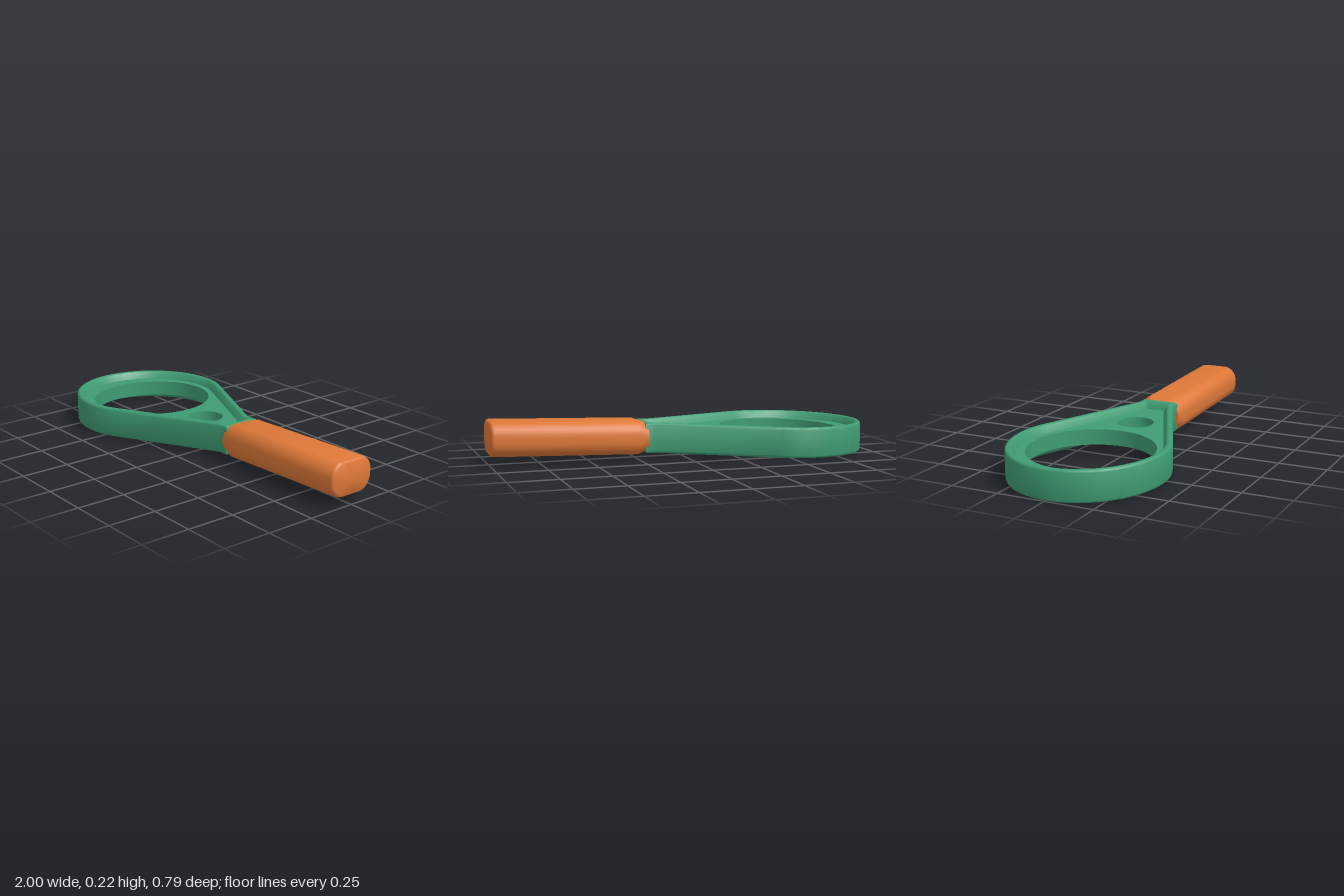
import * as THREE from 'three';
import { toCreasedNormals } from 'three/addons/utils/BufferGeometryUtils.js';

// Surface through closed counter-clockwise rings of [x, y, z], stacked along z
function loft(rings) {
  const n = rings[0].length, pos = rings.flat(2), idx = [];
  for (let j = 0; j < rings.length - 1; j++) {
    for (let i = 0; i < n; i++) {
      const k = (i + 1) % n, a = j * n, b = a + n;
      idx.push(a + i, a + k, b + k, a + i, b + k, b + i);
    }
  }
  const g = new THREE.BufferGeometry();
  g.setAttribute('position', new THREE.Float32BufferAttribute(pos, 3));
  g.setIndex(idx);
  return g;
}

// Gentle upward slope along x
function slope(g, base, rate) {
  const p = g.attributes.position;
  for (let i = 0; i < p.count; i++) p.setY(i, p.getY(i) + base + rate * p.getX(i));
  return g;
}

// Teardrop outline, moved inward by t: round end, straight tangents, short neck
function teardrop(t) {
  const cx = -0.57, r = 0.395, a = THREE.MathUtils.degToRad(65), pts = [];
  const steps = 72;
  for (let i = 0; i <= steps; i++) {
    const u = a + (i / steps) * 2 * (Math.PI - a);
    const rx = Math.cos(u) < 0 ? 0.43 : r;
    pts.push([cx + (rx - t) * Math.cos(u), (r - t) * Math.sin(u)]);
  }
  const z = 0.1 - t;
  const kx = cx + (r - t - z * Math.sin(a)) / Math.cos(a);
  pts.push([kx, -z], [0.215 - t, -z], [0.215 - t, z], [kx, z]);
  return pts;
}

// Rounded handle section, moved inward by o
function handleSection(o) {
  const pts = [], rx = 0.068, ry = 0.074;
  const w = 0.125 - o - rx, h = 0.0875 - o - ry;
  for (let q = 0; q < 4; q++) {
    const sx = q === 0 || q === 3 ? 1 : -1, sy = q < 2 ? 1 : -1;
    for (let i = 0; i <= 8; i++) {
      const u = (q + i / 8) * Math.PI / 2;
      pts.push([sx * w + rx * Math.cos(u), sy * h + ry * Math.sin(u)]);
    }
  }
  return pts;
}

export function createModel() {
  const model = new THREE.Group();
  const green = new THREE.MeshStandardMaterial({ color: 0x3f9c73 });
  green.name = 'green';
  const orange = new THREE.MeshStandardMaterial({ color: 0xde7838 });
  orange.name = 'orange';
  const add = (name, g, material, crease) => {
    const mesh = new THREE.Mesh(toCreasedNormals(g, crease), material);
    mesh.name = name;
    model.add(mesh);
  };

  // Raised rim: [inset, height] profile swept around the teardrop
  const profile = [
    [0.046, 0.035], [0.032, 0.005], [0.025, 0], [0.01, 0], [0.003, 0.004], [0, 0.012],
    [0, 0.143], [0.003, 0.151], [0.01, 0.155], [0.025, 0.155], [0.032, 0.15], [0.046, 0.115],
  ];
  const rim = loft(profile.map(([t, y]) => teardrop(t).map(([x, z]) => [x, z, y])));
  rim.rotateX(-Math.PI / 2);
  add('rim', slope(rim, 0.028, 0.026), green, 0.8);

  // Recessed web with the large and small round openings
  const shape = new THREE.Shape(teardrop(0.045).map(([x, z]) => new THREE.Vector2(x, z)));
  for (const [x, r] of [[-0.56, 0.315], [-0.083, 0.093]]) {
    shape.holes.push(new THREE.Path().absarc(x, 0, r, 0, Math.PI * 2, true));
  }
  const web = new THREE.ExtrudeGeometry(shape, { depth: 0.08, bevelEnabled: false, curveSegments: 64 });
  web.rotateX(-Math.PI / 2).translate(0, 0.035, 0);
  add('web', slope(web, 0.028, 0.026), green, 0.8);

  // Handle: chamfered at the neck, lightly rounded at the free end
  const stations = [[0.2, 0.013], [0.215, 0.011], [0.25, 0], [0.985, 0], [0.995, 0.003], [1, 0.009]];
  const rings = stations.map(([x, o]) => handleSection(o).map(([z, y]) => [z, y, x]));
  const cap = (x) => rings[0].map(() => [0, 0, x]);
  const handle = loft([cap(0.2), ...rings, cap(1)]);
  handle.rotateY(Math.PI / 2);
  add('handle', slope(handle, 0.105, 0.032), orange, 0.7);

  return model;
}
